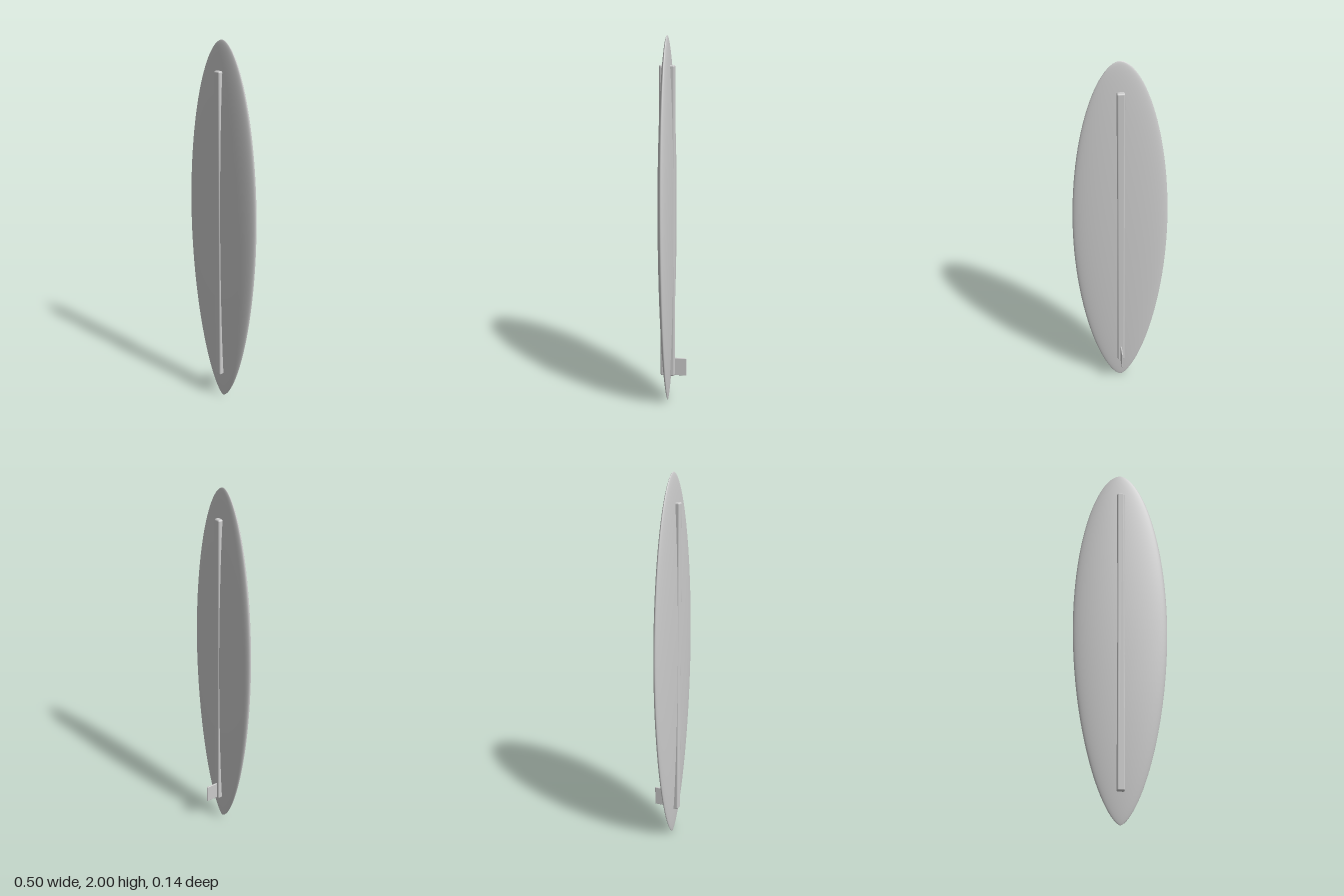
import * as THREE from 'three';
import { RoundedBoxGeometry } from 'three/addons/geometries/RoundedBoxGeometry.js';

export function createModel() {
  const model = new THREE.Group();
  model.name = 'surfboard';
  const grey = new THREE.MeshStandardMaterial({ color: 0xcccccc });
  grey.name = 'light grey';

  const add = (name, geometry, x, y, z) => {
    const mesh = new THREE.Mesh(geometry, grey);
    mesh.name = name;
    mesh.position.set(x, y, z);
    model.add(mesh);
  };

  // Board: revolved outline, widest just above the middle, flattened front to back
  const halfWidth = 0.25, halfThickness = 0.035, widest = 1.07, steps = 56;
  const outline = [];
  for (let i = 0; i <= steps; i++) {
    const c = -Math.cos((Math.PI * i) / steps);
    const t = Math.min(1, Math.abs(c));
    const upper = c > 0;
    const width = upper ? Math.pow(1 - t * t, 0.55) : Math.pow(1 - Math.pow(t, 1.9), 0.65);
    const y = widest + c * (upper ? 2 - widest : widest);
    outline.push(new THREE.Vector2(halfWidth * width, y));
  }
  const board = new THREE.LatheGeometry(outline, 64);
  board.scale(1, 1, halfThickness / halfWidth);
  add('board', board, 0, 0, 0.032);

  // Stringer: bevelled bar running through the board, proud on both faces
  add('stringer', new RoundedBoxGeometry(0.04, 1.7, 0.079, 2, 0.008), 0, 1.005, 0.032);

  // Fin: thin plate at the back near the tail
  add('fin', new RoundedBoxGeometry(0.008, 0.105, 0.084, 2, 0.003), 0, 0.2075, -0.031);

  return model;
}
